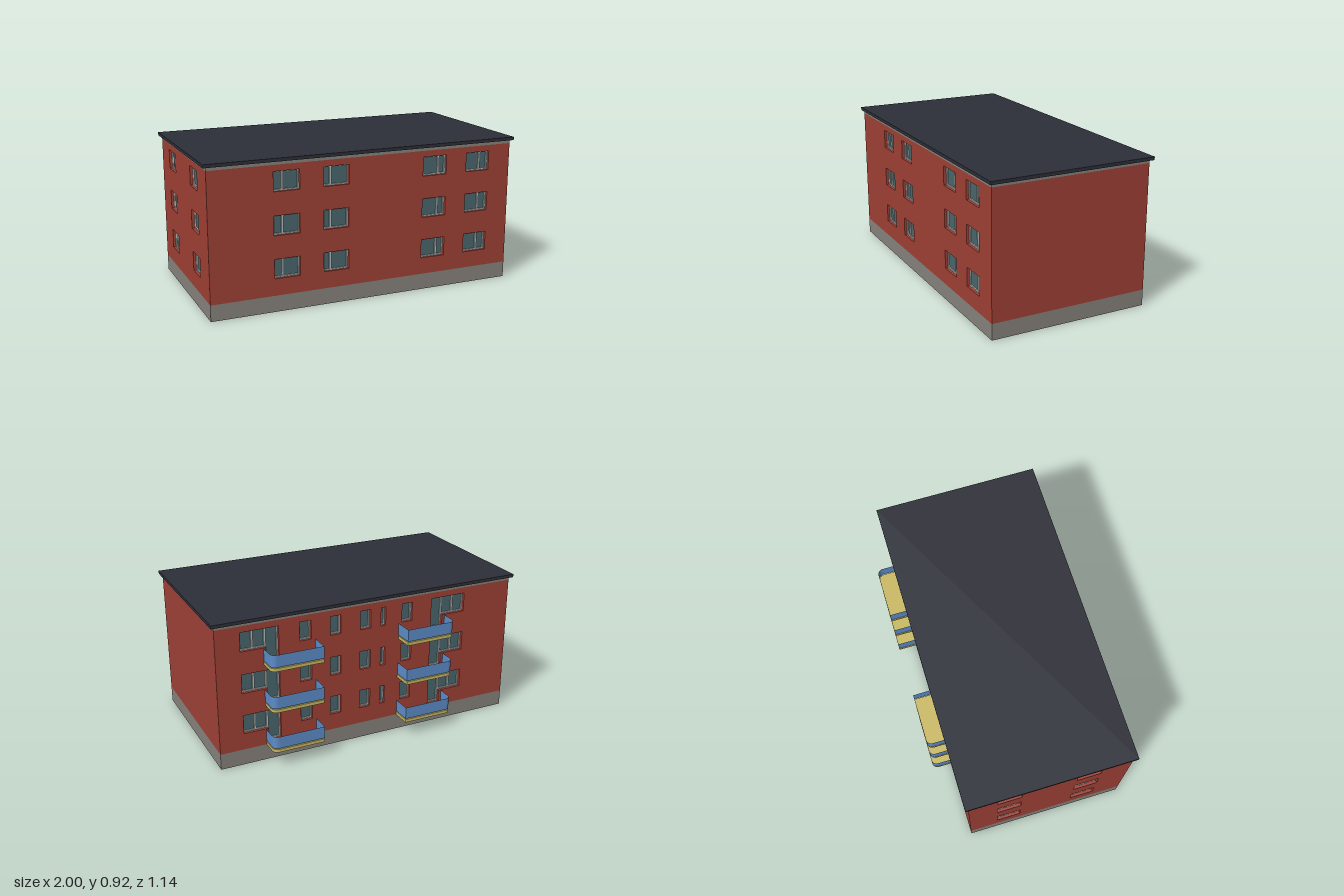
import * as THREE from 'three';
import { mergeGeometries } from 'three/addons/utils/BufferGeometryUtils.js';

const material = (color, side = THREE.FrontSide) => {
  const m = new THREE.MeshStandardMaterial({ side });
  m.color.set(color);
  return m;
};
const brick = material(0x9e4035, THREE.DoubleSide);
const stone = material(0x86827c, THREE.DoubleSide);
const roofing = material(0x2d2f38);
const glass = material(0x4a666c, THREE.DoubleSide);
const trim = material(0xb4bab8);
const slabPaint = material(0xc8b862);
const panelPaint = material(0x5c8cc8, THREE.DoubleSide);

const HALF_X = 0.98, BACK = -0.45, FRONT = 0.555;
const MID_Z = (BACK + FRONT) / 2, DEPTH_Z = FRONT - BACK;
const FLOORS = [0, 0.26, 0.52];
const SILL = 0.204, HEAD = 0.322, DOOR = 0.125, RECESS = 0.025;

function add(parent, name, geometry, mat) {
  const mesh = new THREE.Mesh(geometry, mat);
  mesh.name = name;
  parent.add(mesh);
  return mesh;
}

// Openings are counter-clockwise outlines on the lowest floor; bars are upright mullions
const windowAt = (x0, x1, ...fractions) => ({
  points: [[x0, SILL], [x1, SILL], [x1, HEAD], [x0, HEAD]],
  bars: fractions.map(f => [x0 + (x1 - x0) * f, SILL]),
});

// Window with a balcony door beside it, doorSide = -1 (left of the window) or 1
function windowAndDoor(x0, x1, doorSide) {
  const split = doorSide > 0 ? x1 - 0.08 : x0 + 0.08;
  const points = doorSide > 0
    ? [[x0, SILL], [split, SILL], [split, DOOR], [x1, DOOR], [x1, HEAD], [x0, HEAD]]
    : [[x0, DOOR], [split, DOOR], [split, SILL], [x1, SILL], [x1, HEAD], [x0, HEAD]];
  const middle = doorSide > 0 ? (x0 + split) / 2 : (split + x1) / 2;
  return { points, bars: [[split, DOOR], [middle, SILL]] };
}

// Recessed window: glass, reveals along each edge, frame and mullions
function makeWindow({ points, bars }) {
  const group = new THREE.Group();
  group.name = 'window';
  const outline = points.map(p => new THREE.Vector2(...p));
  const reveals = [], frames = [];
  outline.forEach((a, i) => {
    const b = outline[(i + 1) % outline.length];
    const length = a.distanceTo(b);
    const angle = Math.atan2(b.y - a.y, b.x - a.x);
    const place = g => g.rotateZ(angle).translate((a.x + b.x) / 2, (a.y + b.y) / 2, 0);
    reveals.push(place(new THREE.PlaneGeometry(length, RECESS).rotateX(-Math.PI / 2)
      .translate(0, 0, -RECESS / 2)));
    frames.push(place(new THREE.BoxGeometry(length, 0.008, 0.008).translate(0, 0.004, -RECESS + 0.004)));
  });
  for (const [x, y] of bars) {
    frames.push(new THREE.BoxGeometry(0.012, HEAD - y, 0.008).translate(x, (HEAD + y) / 2, -RECESS + 0.004));
  }
  const pane = new THREE.ShapeGeometry(new THREE.Shape(outline));
  add(group, 'glass', pane.translate(0, 0, -RECESS), glass);
  add(group, 'reveal', mergeGeometries(reveals), brick);
  add(group, 'frame', mergeGeometries(frames), trim);
  return group;
}

// One wall facing local +z: plinth, pierced brick, top band and its windows
function makeWall(name, width, openings) {
  const group = new THREE.Group();
  group.name = name;
  const w = width / 2;
  const rect = (y0, y1) => new THREE.Shape([[-w, y0], [w, y0], [w, y1], [-w, y1]]
    .map(p => new THREE.Vector2(...p)));
  const face = rect(0.1, 0.88);
  for (const floor of FLOORS) {
    for (const opening of openings) {
      face.holes.push(new THREE.Path(opening.points.map(([x, y]) => new THREE.Vector2(x, y + floor))));
      const unit = makeWindow(opening);
      unit.position.y = floor;
      group.add(unit);
    }
  }
  add(group, 'brickFace', new THREE.ShapeGeometry(face), brick);
  add(group, 'plinth', new THREE.ShapeGeometry(rect(0, 0.1)), stone);
  add(group, 'topBand', new THREE.ShapeGeometry(rect(0.88, 0.9)), stone);
  return group;
}

// Balcony with one rounded outer corner, drawn in x (sideways) and d (outwards)
function makeBalcony(width, depth, radius) {
  const group = new THREE.Group();
  group.name = 'balcony';
  const path = [new THREE.Vector2(0, 0), new THREE.Vector2(0, depth)];
  for (let i = 0; i <= 6; i++) {
    const a = Math.PI / 2 * (1 - i / 6);
    path.push(new THREE.Vector2(width - radius + radius * Math.cos(a), depth - radius + radius * Math.sin(a)));
  }
  path.push(new THREE.Vector2(width, 0));
  const slab = new THREE.ExtrudeGeometry(new THREE.Shape(path), { depth: 0.02, bevelEnabled: false });
  add(group, 'slab', slab.rotateX(-Math.PI / 2).translate(0, 0.098, 0), slabPaint);
  // Thin solid railing along the three open sides
  const panels = path.slice(1).map((b, i) => {
    const a = path[i];
    return new THREE.PlaneGeometry(a.distanceTo(b), 0.076)
      .rotateY(Math.atan2(b.y - a.y, b.x - a.x))
      .translate((a.x + b.x) / 2, 0.162, -(a.y + b.y) / 2);
  });
  add(group, 'railing', mergeGeometries(panels), panelPaint);
  return group;
}

export function createModel() {
  const building = new THREE.Group();
  building.name = 'apartmentBlock';

  // Front
  const front = makeWall('frontWall', HALF_X * 2, [
    windowAt(-0.59, -0.43, 0.36), windowAt(-0.28, -0.12, 0.3),
    windowAt(0.37, 0.53, 0.7), windowAt(0.67, 0.83, 0.64),
  ]);
  front.position.z = FRONT;

  // Back, where local x runs opposite to the building's x
  const back = makeWall('backWall', HALF_X * 2, [
    windowAndDoor(-0.83, -0.595, 1), windowAt(-0.465, -0.392), windowAt(-0.27, -0.2),
    windowAt(-0.073, -0.003), windowAt(0.066, 0.098), windowAt(0.21, 0.28),
    windowAndDoor(0.415, 0.65, -1),
  ]);
  back.rotation.y = Math.PI;
  back.position.z = BACK;

  // Ends: windows only on the right-hand end
  const windowedEnd = makeWall('windowedEndWall', DEPTH_Z, [
    windowAt(-0.325, -0.175, 0.36), windowAt(0.165, 0.315, 0.64),
  ]);
  windowedEnd.rotation.y = -Math.PI / 2;
  windowedEnd.position.set(-HALF_X, 0, MID_Z);
  const blankEnd = makeWall('blankEndWall', DEPTH_Z, []);
  blankEnd.rotation.y = Math.PI / 2;
  blankEnd.position.set(HALF_X, 0, MID_Z);
  building.add(front, back, windowedEnd, blankEnd);

  // Roof slab
  add(building, 'roof', new THREE.BoxGeometry(2, 0.02, 1.04), roofing).position.set(0, 0.91, 0.05);

  // Balconies, a mirrored pair on each floor
  for (const floor of FLOORS) {
    for (const side of [1, -1]) {
      const balcony = makeBalcony(0.325, 0.12, 0.035);
      balcony.scale.x = side;
      balcony.position.set(side > 0 ? 0.365 : -0.188, floor, BACK);
      building.add(balcony);
    }
  }
  return building;
}
